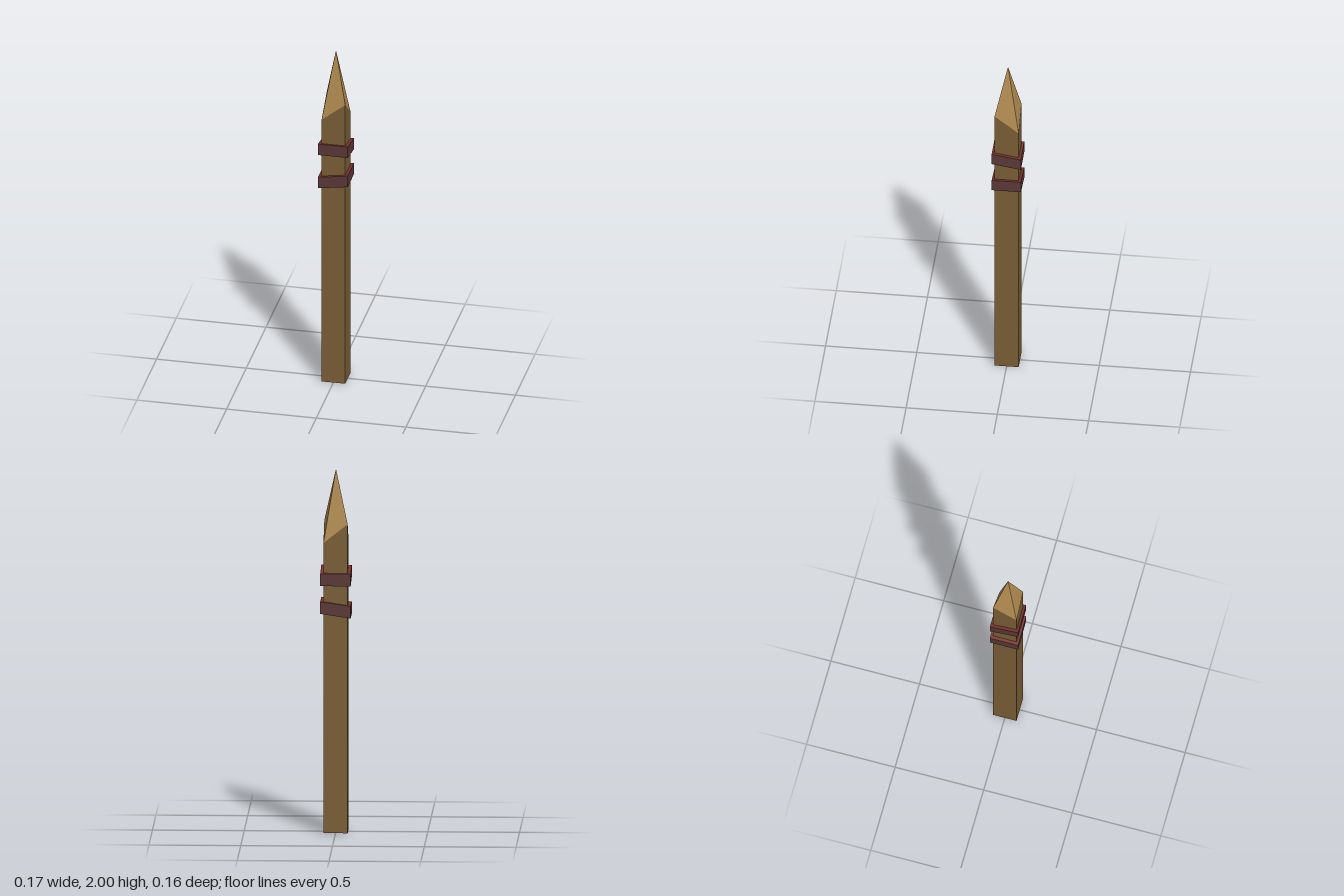
import * as THREE from 'three';

const HALF = 0.066;      // half width of the square post
const HIGH = 1.705, LOW = 1.6;

// Carved corners alternate between high and low around the post
const cornerY = (x, z) => (x * z > 0 ? HIGH : LOW);

function mat(name, color) {
  const m = new THREE.MeshStandardMaterial({ color });
  m.name = name;
  return m;
}

// Square post whose top corners meet the carved point
function shaftGeometry() {
  const g = new THREE.BoxGeometry(2 * HALF, 1, 2 * HALF);
  const p = g.attributes.position;
  for (let i = 0; i < p.count; i++) {
    p.setY(i, p.getY(i) > 0 ? cornerY(p.getX(i), p.getZ(i)) : 0);
  }
  return g;
}

// Four flat facets rising to the apex
function tipGeometry() {
  const corners = [[-1, 1], [1, 1], [1, -1], [-1, -1]];
  const v = [];
  corners.forEach((a, i) => {
    const b = corners[(i + 1) % 4];
    for (const [x, z] of [a, b]) v.push(x * HALF, cornerY(x, z), z * HALF);
    v.push(0, 2, 0);
  });
  const g = new THREE.BufferGeometry();
  g.setAttribute('position', new THREE.Float32BufferAttribute(v, 3));
  g.computeVertexNormals();
  return g;
}

// Wrapped band, sheared so it slopes along x or z
function bandGeometry(y, slopeX, slopeZ) {
  const g = new THREE.BoxGeometry(0.166, 0.067, 0.16);
  const p = g.attributes.position;
  for (let i = 0; i < p.count; i++) {
    p.setY(i, p.getY(i) + y + slopeX * p.getX(i) + slopeZ * p.getZ(i));
  }
  g.computeVertexNormals();
  return g;
}

export function createModel() {
  const wood = mat('wood', 0x7a5e35);
  const cutWood = mat('cutWood', 0xb08a50);
  const leather = mat('leather', 0x5b3838);
  const leatherEdge = mat('leatherEdge', 0x7a332c);
  const bandMats = [leather, leather, leatherEdge, leather, leather, leather];

  const model = new THREE.Group();
  model.name = 'woodenStake';
  const add = (name, geometry, material) => {
    const mesh = new THREE.Mesh(geometry, material);
    mesh.name = name;
    model.add(mesh);
  };

  add('shaft', shaftGeometry(), wood);
  add('carvedPoint', tipGeometry(), cutWood);
  add('upperBand', bandGeometry(1.411, 0, 0.16), bandMats);
  add('lowerBand', bandGeometry(1.233, 0.15, 0), bandMats);
  return model;
}
